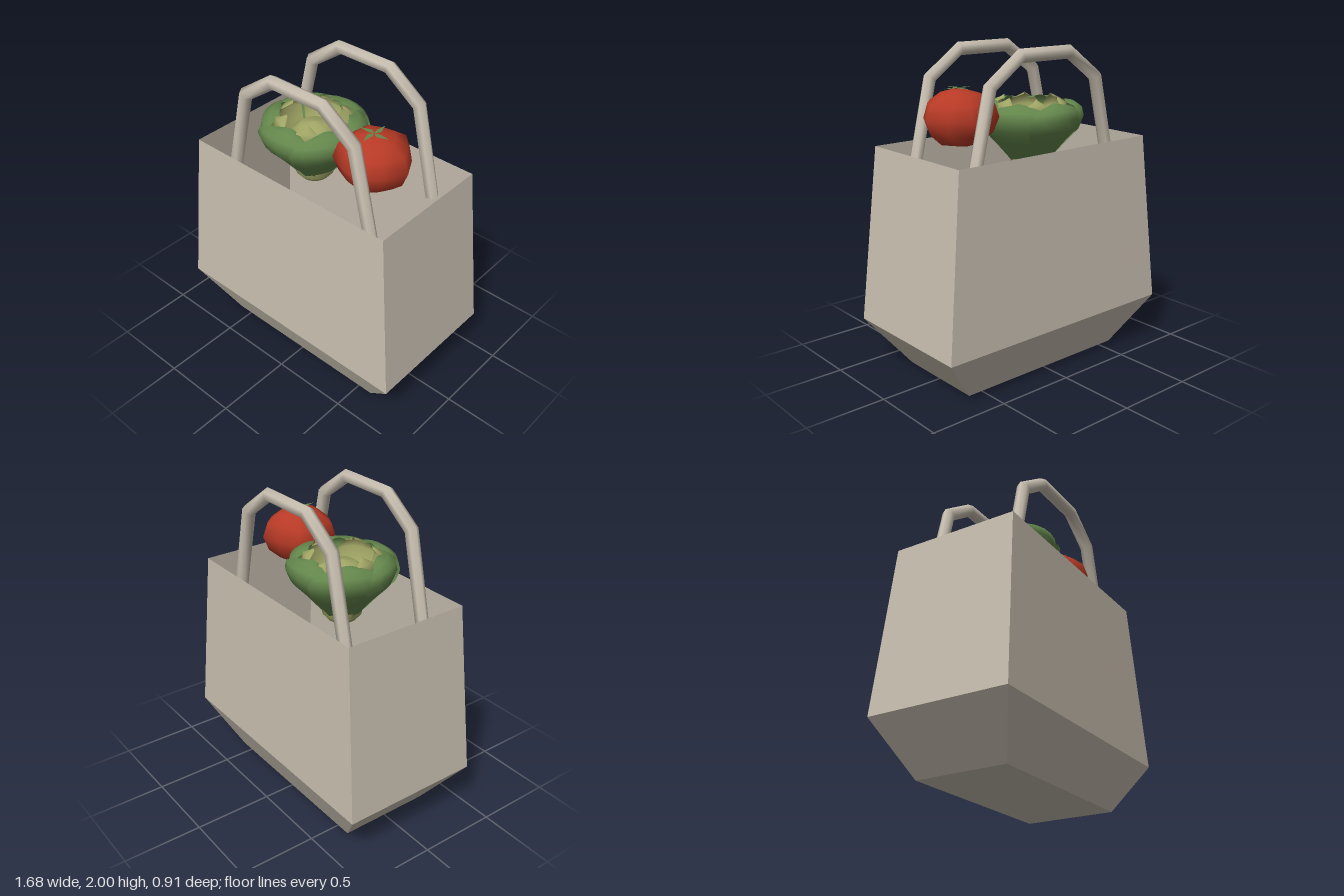
import * as THREE from 'three';
import { mergeVertices } from 'three/addons/utils/BufferGeometryUtils.js';

// Skin a list of equal-sized closed rings of [x, y, z] points
function loft(rings, flat) {
  const n = rings[0].length, index = [];
  for (let i = 0; i < rings.length - 1; i++) {
    for (let j = 0; j < n; j++) {
      const a = i * n + j, b = i * n + (j + 1) % n, c = b + n, d = a + n;
      index.push(a, d, c, a, c, b);
    }
  }
  let g = new THREE.BufferGeometry();
  g.setAttribute('position', new THREE.Float32BufferAttribute(rings.flat(2), 3));
  g.setIndex(index);
  if (flat) g = g.toNonIndexed();
  g.computeVertexNormals();
  return g;
}

// Curved leaf: rows of [radius, height, width factor] wrapped around the y axis
function leafGeometry(rows, halfAngle) {
  const cols = 6, g = new THREE.PlaneGeometry(1, 1, cols, rows.length - 1);
  const p = g.attributes.position;
  rows.forEach(([r, y, w], i) => {
    for (let j = 0; j <= cols; j++) {
      const u = j / cols * 2 - 1, a = u * halfAngle * w;
      const rr = r * (1 - 0.035 * u);   // one edge tucks under the next leaf
      p.setXYZ(i * (cols + 1) + j, rr * Math.sin(a), y - 0.015 * u * u, rr * Math.cos(a));
    }
  });
  g.computeVertexNormals();
  return g;
}

export function createModel() {
  const group = new THREE.Group();
  const material = (name, color, side = THREE.FrontSide) => {
    const m = new THREE.MeshStandardMaterial({ color, side });
    m.name = name;
    return m;
  };
  const paper = material('paper', 0xc8bfb0, THREE.DoubleSide);
  const red = material('tomatoRed', 0xb83a26);
  const green = material('leafGreen', 0x64874c, THREE.DoubleSide);
  const olive = material('paleGreen', 0xa0a565, THREE.DoubleSide);
  const add = (name, geometry, mat, parent = group) => {
    const m = new THREE.Mesh(geometry, mat);
    m.name = name;
    parent.add(m);
    return m;
  };

  // Open bag with a floor and chamfered base
  const bagRings = [[0, 0, 0], [0.595, 0, 0.295], [0.84, 0.32, 0.455], [0.73, 1.41, 0.41]]
    .map(([x, y, z]) => [[x, y, z], [-x, y, z], [-x, y, -z], [x, y, -z]]);
  add('bag', loft(bagRings, true), paper);

  // Two mitred six-sided handles
  const half = [[-0.548, 1.23], [-0.412, 1.8], [-0.188, 1.96]];
  const path = [...half, ...half.slice().reverse().map(([x, y]) => [-x, y])]
    .map(([x, y]) => new THREE.Vector2(x, y));
  const radius = 0.041;
  const handleRings = path.map((p, i) => {
    const before = p.clone().sub(path[Math.max(i - 1, 0)]).normalize();
    const after = path[Math.min(i + 1, path.length - 1)].clone().sub(p).normalize();
    const t = before.clone().add(after).normalize();
    const miter = radius / t.dot(after.length() ? after : before);
    return Array.from({ length: 6 }, (_, k) => {
      const a = k * Math.PI / 3, s = Math.cos(a) * miter;
      return [p.x - t.y * s, p.y + t.x * s, -Math.sin(a) * radius];
    });
  });
  const handleGeometry = loft(handleRings, false);
  for (const [name, z] of [['frontHandle', 0.283], ['backHandle', -0.283]]) {
    add(name, handleGeometry, paper).position.z = z;
  }

  // Leafy vegetable: pale heart, upright inner leaves, broad outer leaves
  const vegetable = new THREE.Group();
  vegetable.name = 'leafyVegetable';
  vegetable.position.x = -0.14;
  group.add(vegetable);
  const heart = [[0, 1.22], [0.09, 1.225], [0.12, 1.26], [0.135, 1.33], [0.155, 1.41],
    [0.16, 1.47], [0.135, 1.54], [0.08, 1.585], [0, 1.6]];
  add('heart', new THREE.LatheGeometry(heart.map(q => new THREE.Vector2(...q)), 20), olive, vegetable);
  const inner = leafGeometry([[0.15, 1.4, 0.8], [0.21, 1.51, 1], [0.24, 1.59, 1],
    [0.225, 1.645, 0.7], [0.17, 1.675, 0.1]], 0.5);
  const outer = leafGeometry([[0.13, 1.3, 1], [0.225, 1.41, 1], [0.3, 1.49, 1], [0.327, 1.56, 1],
    [0.315, 1.61, 0.9], [0.27, 1.64, 0.7], [0.21, 1.65, 0.3]], 0.74);
  for (let i = 0; i < 6; i++) {
    add('outerLeaf', outer, green, vegetable).rotation.y = i * Math.PI / 3;
    add('innerLeaf', inner, olive, vegetable).rotation.y = (i + 0.5) * Math.PI / 3;
  }

  // Tomato with five soft lobes
  const tomato = new THREE.Group();
  tomato.name = 'tomato';
  tomato.position.set(0.37, 0, 0.055);
  group.add(tomato);
  const profile = [[0, 1.415], [0.13, 1.44], [0.2, 1.5], [0.235, 1.59], [0.205, 1.68],
    [0.13, 1.73], [0.04, 1.755], [0, 1.75]];
  let body = new THREE.LatheGeometry(profile.map(q => new THREE.Vector2(...q)), 10, Math.PI / 2);
  const pos = body.attributes.position;
  for (let i = 0; i < pos.count; i++) {
    const x = pos.getX(i), z = pos.getZ(i);
    const k = 0.95 + 0.06 * Math.cos(5 * Math.atan2(z, x));
    pos.setXYZ(i, x * k, pos.getY(i), z * k);
  }
  body.deleteAttribute('normal');
  body.deleteAttribute('uv');
  body = mergeVertices(body);
  body.computeVertexNormals();
  add('tomatoBody', body, red, tomato);

  // Four-pointed pinwheel calyx
  const sepal = new THREE.Shape([[0, 0], [0.035, -0.022], [0.1, 0.005], [0.03, 0.012]]
    .map(q => new THREE.Vector2(...q)));
  const sepalGeometry = new THREE.ShapeGeometry(sepal).rotateX(-Math.PI / 2);
  for (let i = 0; i < 4; i++) {
    const s = add('sepal', sepalGeometry, green, tomato);
    s.position.set(0, 1.762, 0.01);
    s.rotation.y = i * Math.PI / 2;
  }
  return group;
}
